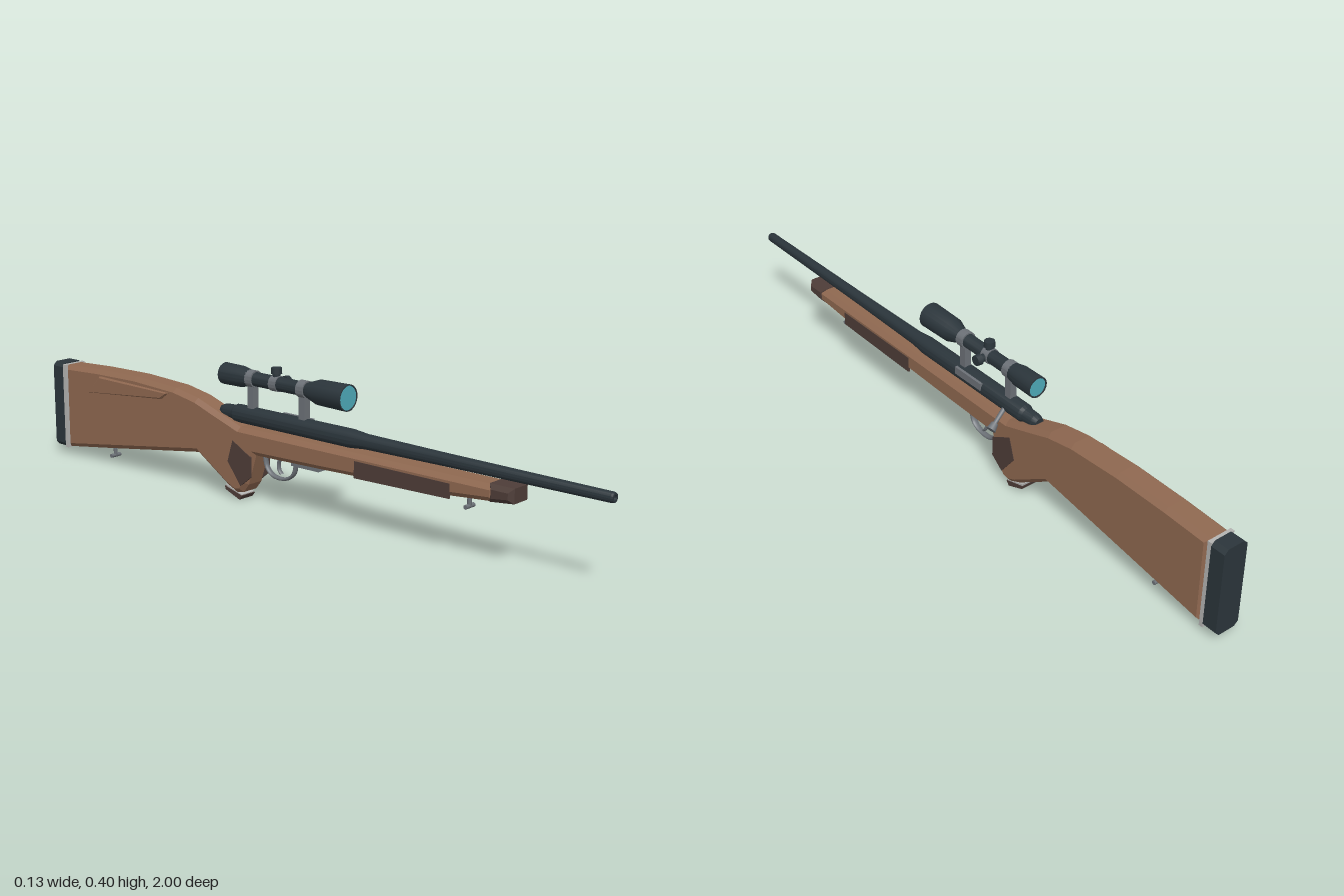
import * as THREE from 'three';
import { toCreasedNormals } from 'three/addons/utils/BufferGeometryUtils.js';

const mat = (name, color) => {
  const m = new THREE.MeshStandardMaterial({ color });
  m.name = name;
  return m;
};

export function createModel() {
  const wood = mat('walnut', 0x8f6850);
  const darkWood = mat('dark wood', 0x4e3d38);
  const blued = mat('blued steel', 0x2b353b);
  const steel = mat('grey steel', 0x6c7177);
  const glass = mat('lens glass', 0x4fabba);
  const pale = mat('pale spacer', 0xb4b4b2);
  const black = mat('bore black', 0x14181b);

  const model = new THREE.Group();
  model.name = 'rifle';
  const body = new THREE.Group();
  body.name = 'rifleBody';
  body.position.x = -0.018;
  model.add(body);

  const add = (name, geo, material, x = 0, y = 0, z = 0) => {
    const m = new THREE.Mesh(geo, material);
    m.name = name;
    m.position.set(x, y, z);
    body.add(m);
    return m;
  };
  const box = (name, material, w, h, d, x, y, z) =>
    add(name, new THREE.BoxGeometry(w, h, d), material, x, y, z);
  // Side outline of [z, y] points extruded across x, with chamfered edges
  const slab = (name, material, pts, width, bevel = 0, x = 0) => {
    const shape = new THREE.Shape(pts.map(([z, y]) => new THREE.Vector2(z, y)));
    const depth = width - 2 * bevel;
    const geo = new THREE.ExtrudeGeometry(shape, {
      depth, bevelEnabled: bevel > 0, bevelSegments: 1,
      bevelSize: bevel, bevelThickness: bevel, bevelOffset: -bevel,
    });
    geo.translate(0, 0, -depth / 2).rotateY(-Math.PI / 2);
    return add(name, geo, material, x);
  };
  // Turned part along z from [z, radius] points, rising in z
  const turned = (name, material, pts, y, sides = 16) => {
    const geo = new THREE.LatheGeometry(pts.map(([z, r]) => new THREE.Vector2(r, z)), sides);
    return add(name, toCreasedNormals(geo.rotateX(Math.PI / 2), 0.5), material, 0, y);
  };
  // Straight round bar between two points
  const bar = (name, material, a, b, r, r2 = r, sides = 10) => {
    const p = new THREE.Vector3(...a), q = new THREE.Vector3(...b);
    const m = add(name, new THREE.CylinderGeometry(r2, r, p.distanceTo(q), sides), material);
    m.position.copy(p).lerp(q, 0.5);
    m.quaternion.setFromUnitVectors(new THREE.Vector3(0, 1, 0), q.sub(p).normalize());
    return m;
  };

  // Stock and fore-end tip
  slab('stock', wood, [
    [0.68, 0.22], [-0.2, 0.217], [-0.29, 0.246], [-0.37, 0.273], [-0.46, 0.289],
    [-0.63, 0.297], [-0.8, 0.294], [-0.945, 0.287], [-0.945, 0.026], [-0.76, 0.053],
    [-0.37, 0.112], [-0.25, 0.037], [-0.215, 0.022], [-0.19, 0.027], [-0.17, 0.053],
    [-0.14, 0.144], [0.1, 0.15], [0.54, 0.165], [0.68, 0.177],
  ], 0.077, 0.013);
  slab('foreEndTip', darkWood, [[0.735, 0.222], [0.66, 0.222], [0.66, 0.174], [0.735, 0.182]], 0.079, 0.012);

  // Grip panels on both sides
  for (const s of [-1, 1]) {
    slab('foreEndPanel', darkWood, [[0.545, 0.2], [0.23, 0.2], [0.23, 0.153], [0.545, 0.16]], 0.005, 0, s * 0.0375);
    slab('gripPanel', darkWood, [[-0.15, 0.139], [-0.22, 0.176], [-0.24, 0.112], [-0.19, 0.048], [-0.15, 0.08]], 0.005, 0, s * 0.0375);
  }
  slab('gripSpacer', pale, [[-0.2, 0.017], [-0.262, 0.037], [-0.26, 0.027], [-0.2, 0.011]], 0.05);
  slab('gripCap', darkWood, [[-0.197, 0.014], [-0.265, 0.032], [-0.262, 0.022], [-0.207, 0.001]], 0.054);

  // Cheek rest on the right-hand side
  slab('cheekRest', wood, [[-0.83, 0.22], [-0.78, 0.277], [-0.48, 0.272], [-0.51, 0.25]], 0.016, 0.004, -0.039);

  // Butt spacer and recoil pad
  box('buttSpacer', pale, 0.077, 0.264, 0.012, 0, 0.156, -0.95);
  const pad = new THREE.Shape();
  const [pw, p0, p1, c] = [0.0385, 0.024, 0.291, 0.012];
  [[-pw + c, p0], [pw - c, p0], [pw, p0 + c], [pw, p1 - c], [pw - c, p1], [-pw + c, p1], [-pw, p1 - c], [-pw, p0 + c]]
    .forEach(([x, y], i) => (i ? pad.lineTo(x, y) : pad.moveTo(x, y)));
  add('recoilPad', new THREE.ExtrudeGeometry(pad, { depth: 0.044, bevelEnabled: false }), blued, 0, 0, -1);

  // Barrel, receiver and bolt shroud in one turned profile, with a hollow muzzle
  turned('barrelAndReceiver', blued, [
    [-0.295, 0], [-0.295, 0.014], [-0.28, 0.02], [-0.245, 0.021], [-0.235, 0.026],
    [0.19, 0.026], [0.24, 0.021], [0.5, 0.0175], [0.995, 0.014], [1, 0.012], [1, 0.007], [0.97, 0.007],
  ], 0.247);
  add('bore', new THREE.CircleGeometry(0.007, 12), black, 0, 0.247, 0.972);
  box('ejectionPort', steel, 0.008, 0.022, 0.11, 0.0235, 0.258, -0.025);

  // Bolt handle
  bar('boltHandle', steel, [0.015, 0.24, -0.172], [0.066, 0.208, -0.185], 0.007, 0.006);
  bar('boltKnob', steel, [0.06, 0.212, -0.184], [0.077, 0.2, -0.188], 0.01, 0.014);

  // Scope tube with bell and eyepiece
  const sy = 0.355;
  turned('scopeTube', blued, [
    [-0.279, 0], [-0.279, 0.026], [-0.284, 0.027], [-0.284, 0.031], [-0.215, 0.03], [-0.165, 0.02],
    [0.03, 0.02], [0.075, 0.035], [0.176, 0.037], [0.176, 0.034], [0.171, 0.033], [0.171, 0],
  ], sy, 20);
  add('frontLens', new THREE.CircleGeometry(0.0335, 20), glass, 0, sy, 0.174);
  add('rearLens', new THREE.CircleGeometry(0.0275, 20).rotateY(Math.PI), glass, 0, sy, -0.282);

  // Adjustment turrets on a grey saddle
  turned('turretSaddle', steel, [[-0.098, 0.019], [-0.098, 0.0225], [-0.072, 0.0225], [-0.072, 0.019]], sy);
  bar('topTurretNeck', blued, [0, sy, -0.085], [0, 0.385, -0.085], 0.011);
  bar('topTurret', blued, [0, 0.383, -0.085], [0, 0.4, -0.085], 0.016, 0.015, 12);
  bar('sideTurretNeck', blued, [0, sy, -0.085], [0.034, sy, -0.085], 0.011);
  bar('sideTurret', blued, [0.032, sy, -0.085], [0.048, sy, -0.085], 0.016, 0.015, 12);

  // Scope mounts
  for (const z of [0.018, -0.176]) {
    turned('scopeRing', steel, [[z - 0.013, 0.018], [z - 0.013, 0.0245], [z + 0.013, 0.0245], [z + 0.013, 0.018]], sy);
    box('scopePost', steel, 0.022, 0.075, 0.022, 0, 0.3, z);
  }

  // Floor plate, trigger guard and trigger
  box('floorPlate', steel, 0.03, 0.014, 0.1, 0, 0.142, 0.032);
  const tube = (name, pts, r) => {
    const curve = new THREE.CatmullRomCurve3(pts.map(([z, y]) => new THREE.Vector3(0, y, z)));
    add(name, new THREE.TubeGeometry(curve, 20, r, 8), steel).scale.x = 1.9;
  };
  tube('triggerGuard', [[-0.01, 0.147], [-0.022, 0.105], [-0.055, 0.086], [-0.1, 0.089], [-0.122, 0.11], [-0.13, 0.147]], 0.005);
  tube('trigger', [[-0.07, 0.15], [-0.078, 0.125], [-0.075, 0.108], [-0.066, 0.098]], 0.004);

  // Sling studs
  for (const [z, top] of [[0.58, 0.172], [-0.765, 0.057]]) {
    bar('slingStud', steel, [0, top, z], [0, top - 0.032, z], 0.006);
    bar('slingStudPin', steel, [-0.018, top - 0.032, z], [0.018, top - 0.032, z], 0.006);
  }
  return model;
}
